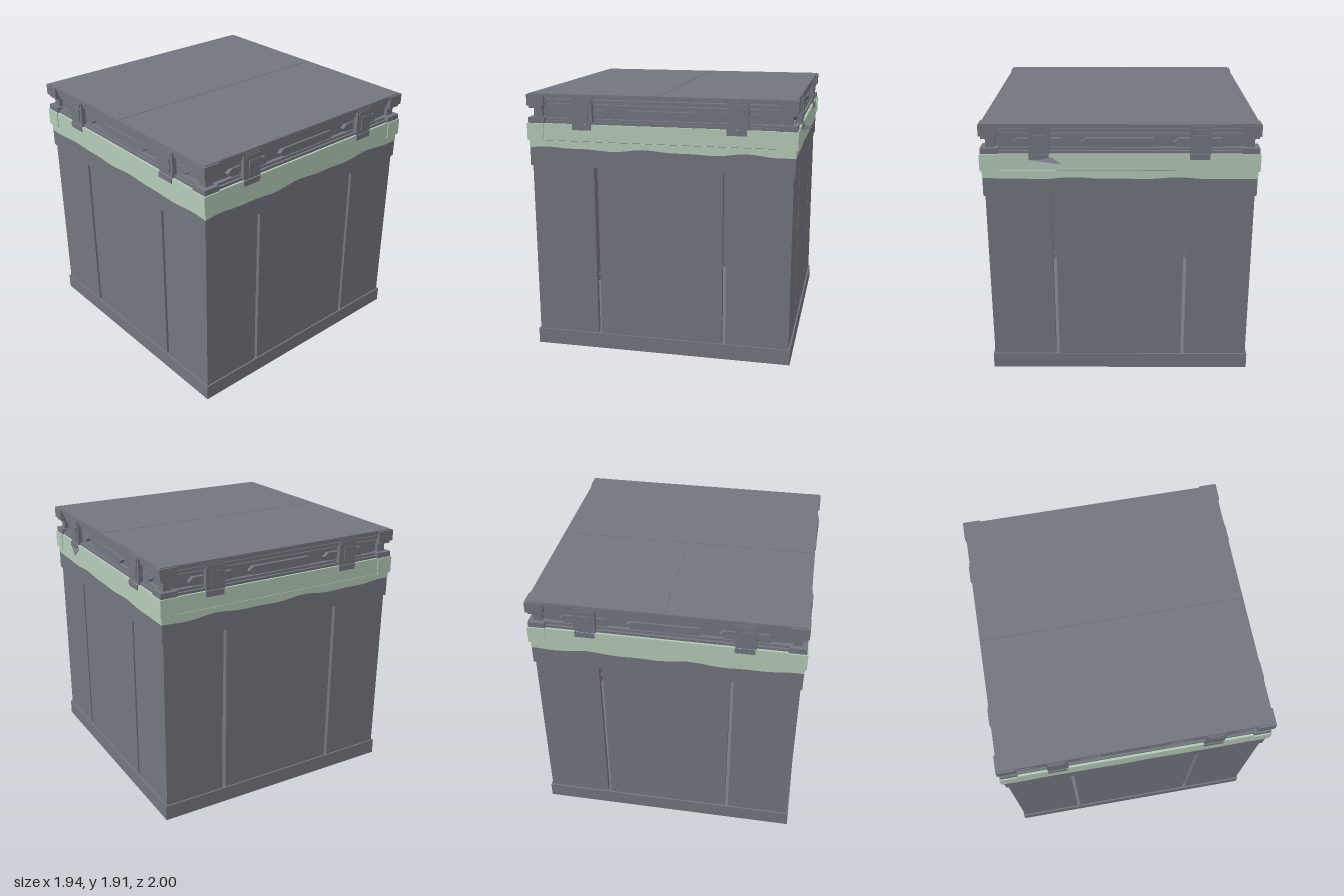
import * as THREE from 'three';

export function createModel() {
  const model = new THREE.Group();
  model.name = 'crate';
  const gray = new THREE.MeshStandardMaterial({ color: 0x73767f });
  gray.name = 'slate gray';
  const green = new THREE.MeshStandardMaterial({ color: 0xb6cbb8 });
  green.name = 'pale green';

  const crate = new THREE.Group();
  crate.name = 'crateBody';
  crate.position.set(0.003, 0, 0.028);
  model.add(crate);

  const add = (parent, name, geometry, material = gray) => {
    const mesh = new THREE.Mesh(geometry, material);
    mesh.name = name;
    parent.add(mesh);
    return mesh;
  };
  // Box given by its limits on each axis
  const box = (parent, name, x0, x1, y0, y1, z0, z1, material) => {
    const mesh = add(parent, name, new THREE.BoxGeometry(x1 - x0, y1 - y0, z1 - z0), material);
    mesh.position.set((x0 + x1) / 2, (y0 + y1) / 2, (z0 + z1) / 2);
    return mesh;
  };
  // Square slab centred on the axis
  const slab = (name, half, y0, y1, material) => box(crate, name, -half, half, y0, y1, -half, half, material);
  // Square ring lying flat
  const ring = (name, half, width, y0, y1) => {
    const square = (s) => [[-s, -s], [s, -s], [s, s], [-s, s]].map(([x, y]) => new THREE.Vector2(x, y));
    const shape = new THREE.Shape(square(half));
    shape.holes.push(new THREE.Path(square(half - width)));
    const geometry = new THREE.ExtrudeGeometry(shape, { depth: y1 - y0, bevelEnabled: false });
    geometry.rotateX(-Math.PI / 2);
    add(crate, name, geometry).position.y = y0;
  };

  // Base and upper frame
  ring('baseFrame', 0.957, 0.065, 0, 0.115);
  slab('floor', 0.893, 0.025, 0.06);
  slab('upperFrame', 0.957, 1.39, 1.575);

  // Lid layers
  slab('greenBand', 0.964, 1.58, 1.7, green);
  slab('bandSeam', 0.95, 1.57, 1.585);
  slab('lidCore', 0.9, 1.69, 1.89);
  slab('topPlate', 0.957, 1.88, 1.906);
  // Four top panels separated by a fine cross seam
  for (const sx of [-1, 1]) for (const sz of [-1, 1]) {
    const panel = box(crate, 'topPanel', -0.476, 0.476, 1.904, 1.911, -0.476, 0.476);
    panel.position.x = sx * 0.4785;
    panel.position.z = sz * 0.4785;
  }

  // Long hexagonal bar
  const hexBar = (parent, x0, x1) => {
    const shape = new THREE.Shape([
      [x0, 1.772], [x0 + 0.035, 1.742], [x1 - 0.035, 1.742],
      [x1, 1.772], [x1 - 0.035, 1.802], [x0 + 0.035, 1.802],
    ].map(([x, y]) => new THREE.Vector2(x, y)));
    const geometry = new THREE.ExtrudeGeometry(shape, { depth: 0.035, bevelEnabled: false });
    add(parent, 'hexBar', geometry).position.z = 0.895;
  };

  // Wavy painted edge below the green band, and above it onto the lower rail
  const paint = (parent, seed, low, high, wave, z, half, flip) => {
    const shape = new THREE.Shape();
    const n = 48;
    const edge = (x) => wave * (Math.sin(x * 9 + seed * 2.1) + 0.6 * Math.sin(x * 17 + seed * 3.7));
    shape.moveTo(-half, flip ? low : high);
    for (let i = 0; i <= n; i++) {
      const x = -half + (2 * half * i) / n;
      shape.lineTo(x, (flip ? high : low) + edge(x));
    }
    shape.lineTo(half, flip ? low : high);
    const geometry = new THREE.ExtrudeGeometry(shape, { depth: 0.004, bevelEnabled: false });
    add(parent, 'paintedEdge', geometry, green).position.z = z;
  };

  // The four matching sides
  for (let k = 0; k < 4; k++) {
    const side = new THREE.Group();
    side.name = 'side';
    side.rotation.y = (k * Math.PI) / 2;
    crate.add(side);

    // Wall planks with open gaps between them
    for (const [x0, x1] of [[-0.945, -0.483], [-0.457, 0.457], [0.483, 0.945]]) {
      box(side, 'wallPlank', x0, x1, 0.11, 1.395, 0.905, 0.945);
    }
    paint(side, k, 1.522, 1.576, k % 2 ? 0.008 : 0.005, 0.955, 0.958, false);
    paint(side, k + 5, 1.67, 1.694, 0.003, 0.947, 0.945, true);

    // Lid rails
    box(side, 'lowerRail', -0.85, 0.85, 1.688, 1.718, 0.88, 0.948);
    box(side, 'middleRail', -0.84, 0.84, 1.718, 1.735, 0.88, 0.93);
    box(side, 'upperRail', -0.84, 0.84, 1.812, 1.838, 0.88, 0.93);
    box(side, 'topRail', -0.85, 0.85, 1.848, 1.872, 0.88, 0.945);

    hexBar(side, -0.27, 0.27);
    for (const s of [-1, 1]) {
      hexBar(side, s < 0 ? -0.74 : 0.37, s < 0 ? -0.37 : 0.74);
      // Latch with a raised lever and a hook
      const latch = new THREE.Group();
      latch.name = 'latch';
      latch.position.x = s * 0.555;
      side.add(latch);
      box(latch, 'latchPlate', -0.074, 0.074, 1.69, 1.893, 0.89, 0.962);
      box(latch, 'latchHook', -0.074, 0.066, 1.66, 1.7, 0.95, 0.97);
      box(latch, 'latchLever', -0.03, 0.045, 1.73, 1.835, 0.95, 0.969);
      box(latch, 'latchHinge', -0.06, 0.06, 1.85, 1.878, 0.95, 0.969);
    }
  }

  // Corner guards: cap, post, foot and green shoe
  for (const sx of [-1, 1]) for (const sz of [-1, 1]) {
    const corner = new THREE.Group();
    corner.name = 'cornerGuard';
    corner.scale.set(1, 1, 1);
    crate.add(corner);
    const block = (name, inner, outer, y0, y1, material) => {
      const c = (inner + outer) / 2;
      box(corner, name, -1, 1, y0, y1, -1, 1, material).position.set(sx * c, (y0 + y1) / 2, sz * c);
      const mesh = corner.children[corner.children.length - 1];
      mesh.scale.set((outer - inner) / 2, 1, (outer - inner) / 2);
    };
    block('cornerCap', 0.84, 0.968, 1.825, 1.905);
    block('cornerCapLip', 0.86, 0.955, 1.805, 1.83);
    block('cornerPost', 0.865, 0.928, 1.72, 1.82);
    block('cornerFoot', 0.84, 0.962, 1.698, 1.74);
    block('cornerShoe', 0.845, 0.971, 1.575, 1.699, green);
  }

  // Bent sliver sticking out of the back
  const sliver = new THREE.BufferGeometry();
  sliver.setAttribute('position', new THREE.Float32BufferAttribute([
    0.4, 1.645, -1.0, 0.63, 1.655, -0.938, 0.47, 1.675, -0.938,
    0.4, 1.645, -1.0, 0.47, 1.675, -0.938, 0.5, 1.64, -0.938,
    0.4, 1.645, -1.0, 0.5, 1.64, -0.938, 0.63, 1.655, -0.938,
  ], 3));
  sliver.computeVertexNormals();
  const sliverGray = gray;
  sliverGray.side = THREE.DoubleSide;
  add(model, 'bentSliver', sliver, sliverGray);

  return model;
}
